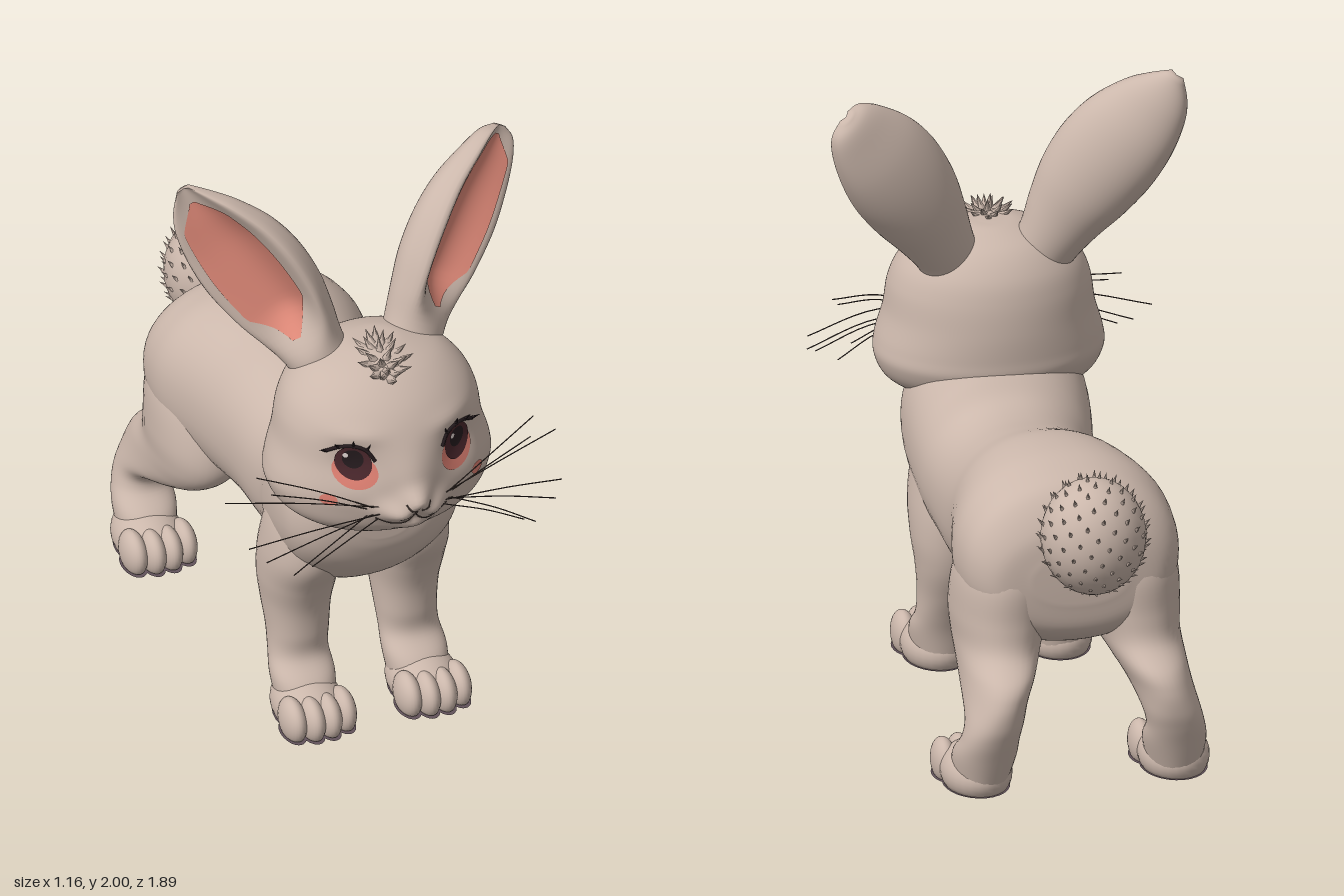
import * as THREE from 'three';
import { mergeGeometries, mergeVertices } from 'three/addons/utils/BufferGeometryUtils.js';

const V = (x, y, z) => new THREE.Vector3(x, y, z);
const material = (name, color, side = THREE.FrontSide) => {
  const m = new THREE.MeshStandardMaterial({ color, side });
  m.name = name;
  return m;
};

// Surface from a rule fn(u, v) -> Vector3; its front is du x dv
function grid(fn, nu, nv) {
  const pos = [], idx = [];
  for (let j = 0; j <= nv; j++)
    for (let i = 0; i <= nu; i++) pos.push(...fn(i / nu, j / nv).toArray());
  for (let j = 0; j < nv; j++)
    for (let i = 0; i < nu; i++) {
      const a = j * (nu + 1) + i, b = a + 1, c = a + nu + 1, d = c + 1;
      idx.push(a, b, d, a, d, c);
    }
  const g = new THREE.BufferGeometry();
  g.setAttribute('position', new THREE.Float32BufferAttribute(pos, 3));
  g.setIndex(idx);
  const merged = mergeVertices(g, 1e-5);
  merged.computeVertexNormals();
  return merged;
}

// Smooth interpolation through sections [position, min, max, halfWidth, centreX]
function sampler(sections) {
  const curve = (f) => new THREE.CatmullRomCurve3(sections.map(f), false, 'catmullrom', 0.5);
  const centre = curve((s) => V(s[4] || 0, s[0], (s[1] + s[2]) / 2));
  const radius = curve((s) => V(s[3], 0, (s[2] - s[1]) / 2));
  return (t) => [centre.getPoint(t), radius.getPoint(t)];
}

// Closed loft of rounded sections along y or along z
function loft(sections, axis = 'y', e = 0.94, nu = 40) {
  const at = sampler(sections), nv = sections.length * 6;
  const soft = (c) => Math.sign(c) * Math.abs(c) ** e;
  return grid((u, v) => {
    const row = Math.round(v * (nv + 2)) - 1;
    const cap = row < 0 || row > nv ? 0 : 1;
    const [c, r] = at(THREE.MathUtils.clamp(row / nv, 0, 1));
    const th = (axis === 'y' ? -1 : 1) * Math.PI * 2 * (u % 1);
    const x = c.x + cap * r.x * soft(Math.cos(th)), a = c.z + cap * r.z * soft(Math.sin(th));
    return axis === 'y' ? V(x, c.y, a) : V(x, a, c.y);
  }, nu, nv + 2);
}

// Ellipsoid, optionally cut flat between two heights
function blob(x, y, z, rx, ry, rz, lo = -9, hi = 9) {
  const g = new THREE.SphereGeometry(1, 28, 20).scale(rx, ry, rz).translate(x, y, z);
  if (lo > -9) {
    const p = g.attributes.position;
    for (let i = 0; i < p.count; i++) p.setY(i, THREE.MathUtils.clamp(p.getY(i), lo, hi));
    g.computeVertexNormals();
  }
  return g;
}

// Pointed hair lock standing on a point
function spike(pos, dir, len, r) {
  const q = new THREE.Quaternion().setFromUnitVectors(V(0, 1, 0), dir.clone().normalize());
  return new THREE.ConeGeometry(r, len, 6, 1, true).translate(0, len / 2, 0).applyQuaternion(q)
    .translate(pos.x, pos.y, pos.z);
}

const tube = (pts, r, n = 14) => new THREE.TubeGeometry(new THREE.CatmullRomCurve3(pts), n, r, 5);

export function createModel() {
  const root = new THREE.Group();
  root.name = 'rabbit';
  const fur = material('fur', 0xcbb7ab);
  const pink = material('ear pink', 0xe28b7a, THREE.DoubleSide);
  const blush = material('blush', 0xdf8072);
  const iris = material('iris', 0x4a272c);
  const black = material('lash black', 0x251b1e);
  const white = material('eye glint', 0xf3e6e2);
  const sole = material('sole', 0x62525a);
  const line = material('whisker', 0x4a3d38);
  const add = (name, geo, mat) => {
    const m = new THREE.Mesh(geo, mat);
    m.name = name;
    root.add(m);
    return m;
  };

  // Trunk, rising into the neck at the front
  add('body', loft([
    [-0.69, 0.62, 0.78, 0.15], [-0.67, 0.52, 0.88, 0.27], [-0.6, 0.46, 0.98, 0.335],
    [-0.5, 0.43, 1.02, 0.355], [-0.4, 0.42, 1.038, 0.35], [-0.25, 0.42, 1.03, 0.31, 0.005],
    [-0.1, 0.41, 0.985, 0.272, 0.015], [0.05, 0.4, 0.955, 0.262, 0.02], [0.17, 0.42, 0.965, 0.268, 0.02],
    [0.26, 0.43, 1.03, 0.285, 0.015], [0.36, 0.45, 1.11, 0.298, 0.01], [0.46, 0.49, 1.13, 0.3, 0.005],
    [0.54, 0.56, 1.07, 0.285], [0.6, 0.63, 0.98, 0.235], [0.63, 0.7, 0.91, 0.16],
    [0.64, 0.75, 0.86, 0.08]], 'z', 0.92, 56), fur);

  // Head, with bridge, nose, muzzle, chin and eye sockets raised by soft bumps
  const headGeo = loft([
    [0.855, 0.52, 0.68, 0.09], [0.88, 0.4, 0.78, 0.24], [0.93, 0.3, 0.83, 0.33],
    [1.0, 0.255, 0.85, 0.367], [1.06, 0.25, 0.86, 0.364], [1.15, 0.25, 0.853, 0.338],
    [1.25, 0.262, 0.835, 0.322], [1.33, 0.29, 0.79, 0.285], [1.4, 0.35, 0.71, 0.21],
    [1.44, 0.44, 0.62, 0.1], [1.447, 0.5, 0.56, 0.03]], 'y', 1, 160);
  const bumps = [ // height, |x|, y, spread x, spread y
    [0.035, 0, 1.12, 0.09, 0.1], [0.05, 0, 1.062, 0.045, 0.036], [0.06, 0.055, 1.01, 0.06, 0.04],
    [0.035, 0, 0.945, 0.07, 0.03], [-0.022, 0.18, 1.17, 0.07, 0.07], [0.012, 0.16, 1.27, 0.08, 0.03]];
  const hp = headGeo.attributes.position;
  for (let i = 0; i < hp.count; i++) {
    const [x, y, z] = [hp.getX(i), hp.getY(i), hp.getZ(i)];
    const front = THREE.MathUtils.smoothstep(z, 0.58, 0.72);
    for (const [h, bx, by, sx, sy] of bumps)
      hp.setZ(i, hp.getZ(i) + front * h * Math.exp(-(((Math.abs(x) - bx) / sx) ** 2) - ((y - by) / sy) ** 2));
  }
  headGeo.computeVertexNormals();
  const head = add('head', headGeo, fur);

  // Points and painted patches laid on the face
  const ray = new THREE.Raycaster();
  const onFace = (x, y, off = 0) => {
    ray.set(V(x, y, 2), V(0, 0, -1));
    const hit = ray.intersectObject(head)[0];
    return hit.point.addScaledVector(hit.face.normal, off);
  };
  const patch = (name, x, y, rx, ry, off, mat) => {
    const g = new THREE.RingGeometry(0.001, 1, 28, 4), p = g.attributes.position;
    for (let i = 0; i < p.count; i++) {
      const q = onFace(x + p.getX(i) * rx, y + p.getY(i) * ry, off);
      p.setXYZ(i, q.x, q.y, q.z);
    }
    g.computeVertexNormals();
    add(name, g, mat);
  };

  for (const s of [-1, 1]) {
    // Eyes, lashes and blush
    patch('eyeRim', s * 0.17, 1.148, 0.064, 0.06, 0.003, blush);
    patch('iris', s * 0.172, 1.178, 0.052, 0.06, 0.006, iris);
    patch('pupil', s * 0.172, 1.192, 0.03, 0.036, 0.008, black);
    patch('eyeGlint', s * 0.172 - 0.02, 1.205, 0.008, 0.009, 0.0095, white);
    patch('blushSpot', s * 0.25, 1.045, 0.024, 0.02, 0.003, blush);
    const lid = [[0.112, 1.19], [0.135, 1.226], [0.172, 1.24], [0.212, 1.23], [0.245, 1.21]];
    add('upperLid', tube(lid.map(([x, y]) => onFace(s * x, y, 0.003)), 0.006), black);
    add('lashes', mergeGeometries(lid.slice(1).map(([x, y], i) =>
      spike(onFace(s * x, y, 0.002), V(s * (i * 0.4 - 0.3), 0.8 - i * 0.12, 0.3), 0.032, 0.006))), black);

    // Mouth and whiskers
    add('mouthLine', tube([[0, 1.025], [0.003, 0.995], [0.03, 0.972], [0.075, 0.968], [0.12, 0.988]]
      .map(([x, y]) => onFace(s * x, y)), 0.003), line);
    add('nostril', tube([[0.01, 1.03], [0.028, 1.04], [0.04, 1.058]]
      .map(([x, y]) => onFace(s * x, y)), 0.003), line);
    const whiskers = [
      [0.56, 1.04, 0.67], [0.47, 1.14, 0.71], [0.44, 1.1, 0.76], [0.53, 0.94, 0.8],
      [0.49, 0.91, 0.85], [0.41, 0.86, 0.88], [0.36, 0.9, 0.91]].map(([x, y, z], i) => {
      const a = onFace(s * (0.11 + (i % 3) * 0.015), 1.035 - i * 0.009, -0.004);
      const b = V(s * x, y, z), mid = a.clone().lerp(b, 0.5).add(V(0, 0.02, 0.02));
      return tube([a, mid, b], 0.002, 10);
    });
    add('whiskers', mergeGeometries(whiskers), line);

    // Front leg, rear leg
    add('frontLeg', loft([
      [0.86, 0.3, 0.5, 0.06, s * 0.14], [0.74, 0.22, 0.53, 0.11, s * 0.165],
      [0.6, 0.18, 0.535, 0.125, s * 0.178],
      [0.48, 0.175, 0.48, 0.122, s * 0.183], [0.38, 0.19, 0.445, 0.11, s * 0.183],
      [0.28, 0.23, 0.435, 0.1, s * 0.183], [0.2, 0.265, 0.435, 0.097, s * 0.187],
      [0.13, 0.29, 0.5, 0.103, s * 0.19], [0.03, 0.31, 0.55, 0.09, s * 0.19]].reverse()), fur);
    add('rearLeg', loft([
      [0.9, -0.58, -0.4, 0.06, s * 0.15], [0.8, -0.64, -0.32, 0.12, s * 0.185],
      [0.68, -0.685, -0.26, 0.148, s * 0.205],
      [0.55, -0.69, -0.22, 0.15, s * 0.215], [0.46, -0.71, -0.23, 0.135, s * 0.225],
      [0.39, -0.79, -0.3, 0.115, s * 0.245], [0.33, -0.815, -0.42, 0.1, s * 0.265],
      [0.26, -0.815, -0.59, 0.092, s * 0.285], [0.2, -0.8, -0.62, 0.092, s * 0.3],
      [0.13, -0.775, -0.55, 0.1, s * 0.308], [0.03, -0.74, -0.5, 0.085, s * 0.315]].reverse()), fur);

    // Paws: pad, four toes and a dark sole under each
    for (const [name, x, z] of [['frontPaw', 0.195, 0.46], ['rearPaw', 0.32, -0.59]]) {
      const bits = [[0, 0.05, -0.01, 0.113, 0.095, 0.15]];
      for (let i = 0; i < 4; i++) {
        const k = i - 1.5;
        bits.push([k * 0.056, 0.055, 0.105 - Math.abs(k) * 0.018, 0.04, 0.074, 0.08]);
      }
      const make = (f, lo, hi) => mergeGeometries(bits.map(([bx, by, bz, rx, ry, rz]) =>
        blob(s * x + bx, by, z + bz, rx * f, ry, rz * f, lo, hi)));
      add(name, make(1, 0.005, 9), fur);
      add(name + 'Sole', make(0.94, 0, 0.006), sole);
    }

    // Ear: thick leaf-shaped shell with a hollow pink front, bowed inwards
    const base = V(s * 0.155, 1.34, 0.445), tip = s < 0 ? V(-0.515, 1.985, 0.225) : V(0.505, 1.95, 0.215);
    const up = tip.clone().sub(base), len = up.length();
    up.normalize();
    const out = V(s * 0.53, 0, 0.85);
    out.addScaledVector(up, -out.dot(up)).normalize();
    const basis = new THREE.Matrix4().makeBasis(V().crossVectors(up, out), up, out).setPosition(base);
    const shape = sampler([
      [-0.08, -0.08, 0.1, 0.095, 0.01], [0.05, -0.09, 0.105, 0.105, 0.02], [0.16, -0.095, 0.12, 0.13, 0.03],
      [0.28, -0.1, 0.135, 0.158, 0.032], [0.41, -0.09, 0.14, 0.17, 0.028],
      [0.53, -0.065, 0.13, 0.157, 0.02], [0.64, -0.025, 0.115, 0.12, 0.008],
      [0.71, 0.005, 0.095, 0.078, 0], [len, 0.035, 0.07, 0.025]]);
    const earPoint = (t, c, sn, lift = 0) => {
      const [p, r] = shape(t);
      const hollow = THREE.MathUtils.smoothstep(t, 0.1, 0.35);
      const depth = sn > 0 ? THREE.MathUtils.lerp(sn, 2.3 * sn - 2.4 * sn * sn, hollow) : sn;
      return V(r.x * c - s * p.x, p.y, p.z + r.z * depth + lift).applyMatrix4(basis);
    };
    add('ear', grid((u, v) => {
      const th = -Math.PI * 2 * (u % 1), row = Math.round(v * 41), cap = row > 40 ? 0 : 1;
      return earPoint(Math.min(row / 40, 1), cap * Math.cos(th), cap * Math.sin(th));
    }, 48, 41), fur);
    add('innerEar', grid((u, v) => {
      const half = 0.66 * Math.min(1, Math.sin(Math.PI * (0.04 + v * 0.92)) * 1.5);
      const c = (u * 2 - 1) * half + s * 0.07;
      return earPoint(0.22 + v * 0.66, c, Math.sqrt(1 - c * c), 0.005);
    }, 20, 30), pink);
  }

  // Forelock: rosette of broad locks lying on the crown
  const locks = [];
  for (let i = 0; i < 24; i++) {
    const a = i * 2.4, r = Math.sqrt((i + 0.5) / 24);
    const x = Math.cos(a) * r * 0.035 - 0.01, z = 0.63 + Math.sin(a) * r * 0.075;
    const y = 1.44 - Math.max(0, z - 0.56) * 0.25;
    locks.push(spike(V(x, y - 0.012, z), V(Math.cos(a) * r, 0.55, Math.sin(a) * r + 0.15), 0.075, 0.02));
  }
  add('forelock', mergeGeometries(locks), fur);

  // Tail: round puff with short locks swept upwards
  const tail = V(-0.02, 0.88, -0.77), tailR = V(0.168, 0.19, 0.165), tufts = [];
  add('tail', blob(...tail.toArray(), ...tailR.toArray()), fur);
  for (let i = 0; i < 150; i++) {
    const y = 1 - (2 * i + 1) / 150, r = Math.sqrt(1 - y * y), a = i * 2.39996;
    const d = V(Math.cos(a) * r, y, Math.sin(a) * r);
    tufts.push(spike(d.clone().multiply(tailR).multiplyScalar(0.96).add(tail),
      d.clone().add(V(0, 0.9, -0.35)), 0.033, 0.008));
  }
  add('tailLocks', mergeGeometries(tufts), fur);
  return root;
}
